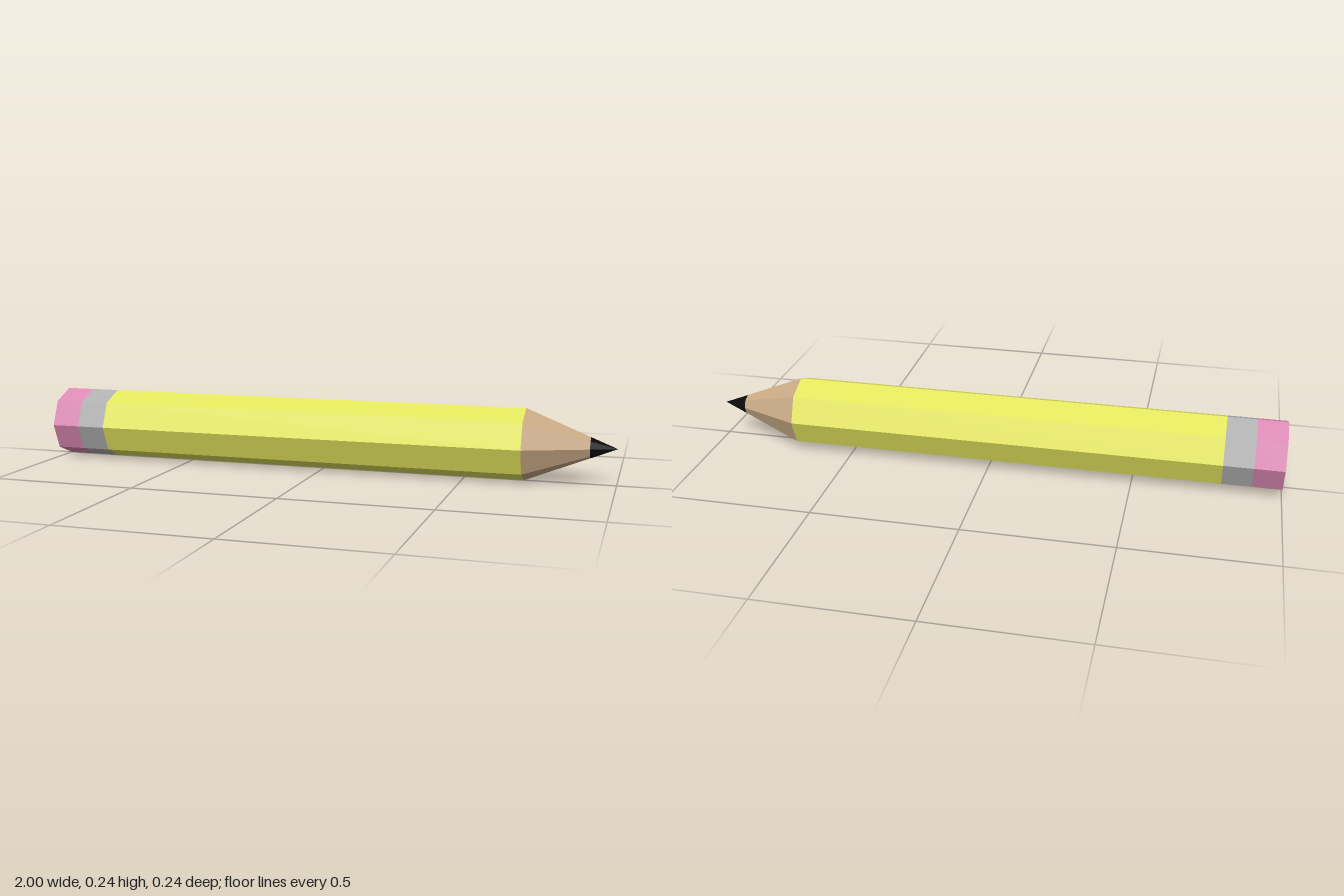
import * as THREE from 'three';

const SIDES = 8;
const RADIUS = 0.122;
const CONE_START = 0.7;
const LEAD_START = 0.913;

function material(name, color) {
  const m = new THREE.MeshStandardMaterial({ color, flatShading: true });
  m.name = name;
  return m;
}

// Radius of the sharpened end at a given x
const coneRadius = (x) => RADIUS * (1 - x) / (1 - CONE_START);

// Octagonal section along x, with a corner pointing straight up
function section(name, mat, x0, x1, r0, r1, open = true) {
  const geometry = new THREE.CylinderGeometry(r1, r0, x1 - x0, SIDES, 1, open);
  geometry.rotateZ(-Math.PI / 2);
  const mesh = new THREE.Mesh(geometry, mat);
  mesh.name = name;
  mesh.position.set((x0 + x1) / 2, RADIUS, 0);
  return mesh;
}

export function createModel() {
  const pink = material('eraser pink', 0xdb8ab4);
  const grey = material('ferrule grey', 0xb0b0b0);
  const yellow = material('paint yellow', 0xe2e55d);
  const tan = material('wood tan', 0xc8a985);
  const black = material('lead black', 0x0a0a0a);

  const pencil = new THREE.Group();
  pencil.name = 'pencil';
  const leadRadius = coneRadius(LEAD_START);
  pencil.add(
    section('eraser', pink, -1, -0.9, RADIUS, RADIUS, false),
    section('ferrule', grey, -0.9, -0.8, RADIUS, RADIUS),
    section('barrel', yellow, -0.8, CONE_START, RADIUS, RADIUS),
    section('sharpenedWood', tan, CONE_START, LEAD_START, RADIUS, leadRadius),
    section('leadTip', black, LEAD_START, 1, leadRadius, 0)
  );
  return pencil;
}
